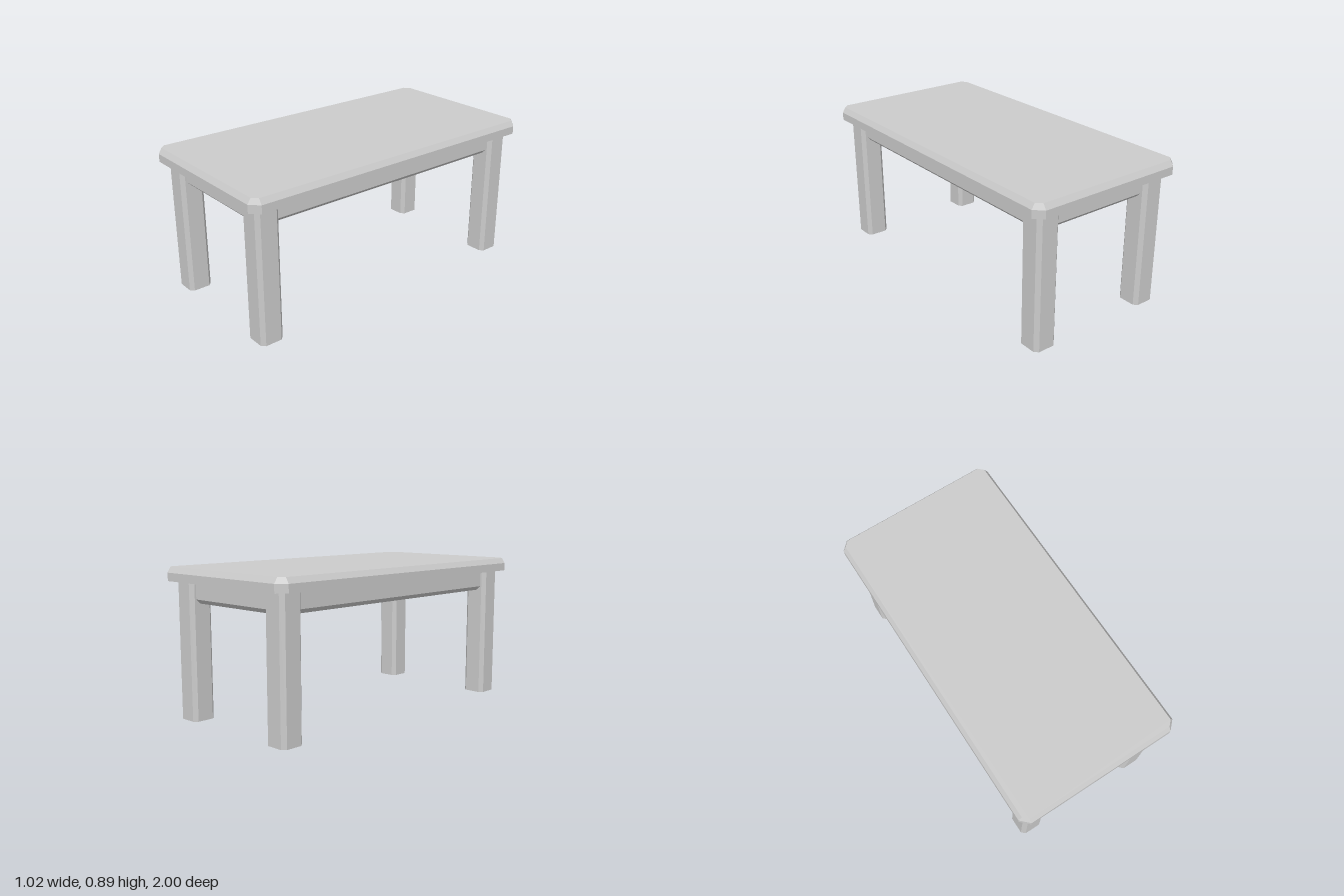
import * as THREE from 'three';

const material = new THREE.MeshStandardMaterial({ color: 0xcccccc, flatShading: true });

// Rectangle with cut corners
function cutRectangle(halfX, halfZ, cut) {
  return new THREE.Shape([
    [halfX, -halfZ + cut], [halfX, halfZ - cut], [halfX - cut, halfZ], [-halfX + cut, halfZ],
    [-halfX, halfZ - cut], [-halfX, -halfZ + cut], [-halfX + cut, -halfZ], [halfX - cut, -halfZ],
  ].map(([x, y]) => new THREE.Vector2(x, y)));
}

// Upright prism from y = 0 to height
function prism(shape, height, steps = 1) {
  return new THREE.ExtrudeGeometry(shape, { depth: height, steps, bevelEnabled: false })
    .rotateX(-Math.PI / 2);
}

function addMesh(parent, name, geometry) {
  const mesh = new THREE.Mesh(geometry, material);
  mesh.name = name;
  parent.add(mesh);
  return mesh;
}

// Slab with straight lower edge and sloped upper edge
function tabletopGeometry() {
  const geometry = prism(cutRectangle(0.51, 1, 0.05), 0.08, 2);
  const p = geometry.attributes.position;
  for (let i = 0; i < p.count; i++) {
    const y = p.getY(i);
    if (y > 0.07) {
      p.setX(i, THREE.MathUtils.clamp(p.getX(i), -0.49, 0.49));
      p.setZ(i, THREE.MathUtils.clamp(p.getZ(i), -0.98, 0.98));
    } else if (y > 0.01) p.setY(i, 0.048);
  }
  geometry.computeVertexNormals();
  return geometry;
}

// Rail along z, with both lower edges bevelled
function railGeometry(length) {
  const w = 0.04, b = 0.025;
  const section = new THREE.Shape([
    [-w, 0.81], [-w, 0.685 + b], [-w + b, 0.685], [w - b, 0.685], [w, 0.685 + b], [w, 0.81],
  ].map(([x, y]) => new THREE.Vector2(x, y)));
  return new THREE.ExtrudeGeometry(section, { depth: length, bevelEnabled: false })
    .translate(0, 0, -length / 2);
}

export function createModel() {
  const table = new THREE.Group();
  table.name = 'table';
  const legX = 0.3825, legZ = 0.8755;

  addMesh(table, 'tabletop', tabletopGeometry()).position.y = 0.81;

  const legGeometry = prism(cutRectangle(0.0725, 0.0725, 0.022), 0.81);
  const sideRail = railGeometry(legZ * 2);
  const endRail = railGeometry(legX * 2).rotateY(Math.PI / 2);

  for (const s of [1, -1]) {
    const side = s > 0 ? 'left' : 'right';
    // Legs at the corners
    addMesh(table, `${side}FrontLeg`, legGeometry).position.set(s * legX, 0, legZ);
    addMesh(table, `${side}BackLeg`, legGeometry).position.set(s * legX, 0, -legZ);
    // Apron rails between the legs
    addMesh(table, `${side}Rail`, sideRail).position.x = s * legX;
    addMesh(table, s > 0 ? 'frontRail' : 'backRail', endRail).position.z = s * legZ;
  }
  return table;
}
